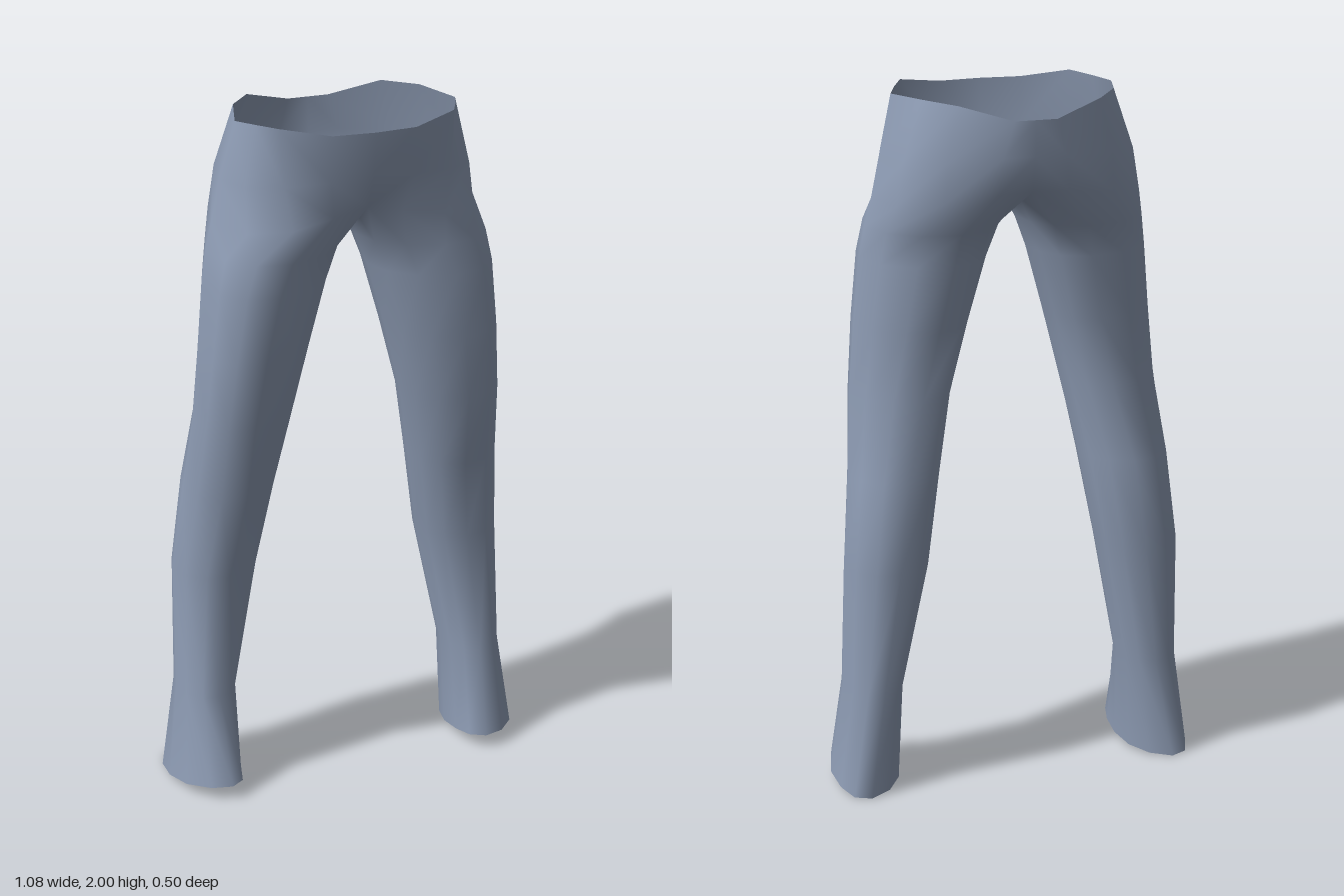
import * as THREE from 'three';
import { mergeVertices } from 'three/addons/utils/BufferGeometryUtils.js';

const OUTER = 9; // points from front centre round the hip to back centre
const INNER = 3; // points between them on the inside of the leg

// Leg sections: y, inner x, outer x, back z, front z, outward shift of the front
const LEG = [
  [0.02, 0.34, 0.54, -0.172, 0.167, -0.03],
  [0.30, 0.333, 0.505, -0.145, 0.09, 0],
  [0.67, 0.255, 0.50, -0.167, 0.075, 0],
  [0.93, 0.212, 0.475, -0.155, 0.13, 0],
  [1.15, 0.168, 0.455, -0.11, 0.172, 0.02],
  [1.35, 0.118, 0.438, -0.128, 0.20, 0.03],
  [1.54, 0.065, 0.42, -0.152, 0.215, 0.03],
  [1.63, 0.03, 0.405, -0.168, 0.213, 0.02],
];

// Closed ring where the leg meets the pelvis; the last points form the crotch seam
const CROTCH = [
  [0, 1.76, 0.195], [0.10, 1.74, 0.20], [0.22, 1.72, 0.21], [0.33, 1.71, 0.155],
  [0.385, 1.71, 0.02], [0.35, 1.71, -0.11], [0.24, 1.73, -0.205], [0.10, 1.75, -0.238],
  [0, 1.75, -0.222], [0, 1.71, -0.11], [0, 1.69, 0.01], [0, 1.715, 0.12],
];

// Half rings of the pelvis, front centre to back centre
const HIP = [
  [0, 1.86, 0.238], [0.12, 1.85, 0.232], [0.24, 1.84, 0.20], [0.325, 1.83, 0.13],
  [0.36, 1.83, 0.02], [0.33, 1.83, -0.11], [0.235, 1.84, -0.205], [0.09, 1.85, -0.245],
  [0, 1.85, -0.247],
];
const WAIST = [
  [0, 1.98, 0.25], [0.12, 1.98, 0.24], [0.25, 2.0, 0.19], [0.29, 1.995, 0.11],
  [0.32, 1.99, 0.04], [0.275, 1.995, -0.10], [0.20, 1.99, -0.20], [0.06, 1.95, -0.25],
  [0, 1.95, -0.25],
];

function legRing([y, xi, xo, zb, zf, shift], isHem) {
  const ring = [];
  const half = THREE.MathUtils.degToRad(126);
  for (let i = 0; i < OUTER + INNER; i++) {
    const angle = i < OUTER
      ? half - (2 * half * i) / (OUTER - 1)
      : -half - ((2 * Math.PI - 2 * half) * (i - OUTER + 1)) / (INNER + 1);
    const s = Math.sin(angle);
    ring.push([
      (xi + xo) / 2 + ((xo - xi) / 2) * Math.cos(angle) + shift * s * Math.abs(s),
      isHem ? 0.023 + 0.022 * s : y, // the hem dips towards the heel
      (zf + zb) / 2 + ((zf - zb) / 2) * s,
    ]);
  }
  return ring;
}

export function createModel() {
  const positions = [];
  const triangle = (a, b, c, side) => {
    for (const p of side > 0 ? [a, b, c] : [a, c, b]) positions.push(p[0] * side, p[1], p[2]);
  };
  // Skin between two rings, closed all the way round or open at the centre line
  const skin = (low, high, closed, side) => {
    const n = closed ? OUTER + INNER : OUTER - 1;
    for (let i = 0; i < n; i++) {
      const j = closed ? (i + 1) % n : i + 1;
      triangle(low[i], low[j], high[j], side);
      triangle(low[i], high[j], high[i], side);
    }
  };

  const legRings = [...LEG.map((row, i) => legRing(row, i === 0)), CROTCH];
  for (const side of [1, -1]) {
    for (let i = 0; i + 1 < legRings.length; i++) skin(legRings[i], legRings[i + 1], true, side);
    skin(CROTCH, HIP, false, side);
    skin(HIP, WAIST, false, side);
  }

  // Weld both halves so shading runs smoothly across the seams
  let geometry = new THREE.BufferGeometry();
  geometry.setAttribute('position', new THREE.Float32BufferAttribute(positions, 3));
  geometry = mergeVertices(geometry, 1e-4);
  geometry.computeVertexNormals();

  const cloth = new THREE.MeshStandardMaterial({ color: 0x8d9bb3, side: THREE.DoubleSide });
  cloth.name = 'blue grey cloth';
  const trousers = new THREE.Mesh(geometry, cloth);
  trousers.name = 'trousers';

  const group = new THREE.Group();
  group.name = 'trousersModel';
  group.add(trousers);
  return group;
}
